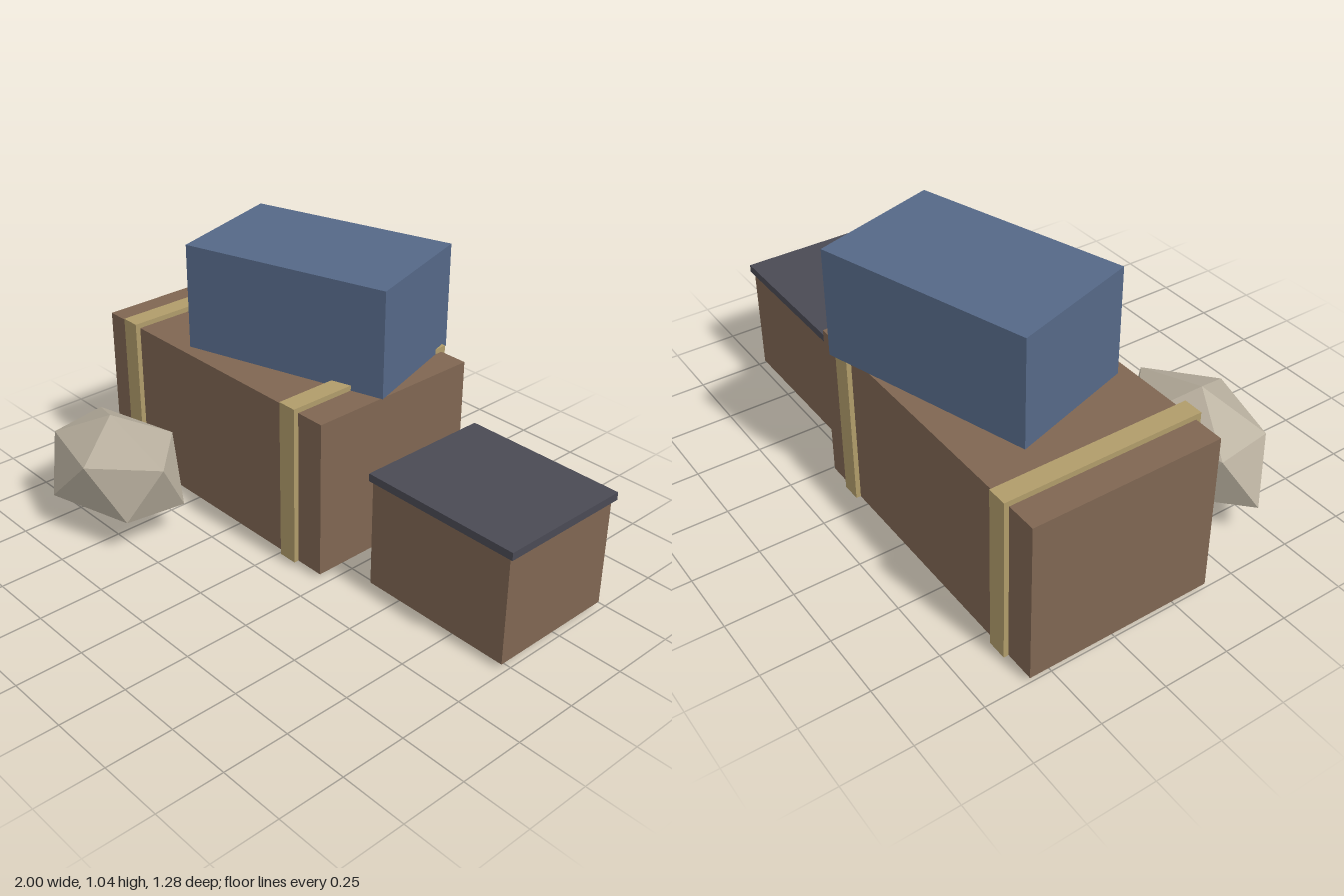
import * as THREE from 'three';

const material = (name, color) => {
  const m = new THREE.MeshStandardMaterial({ color });
  m.name = name;
  return m;
};

// Box given by its limits on each axis
function box(name, mat, [x0, x1], [y0, y1], [z0, z1]) {
  const mesh = new THREE.Mesh(new THREE.BoxGeometry(x1 - x0, y1 - y0, z1 - z0), mat);
  mesh.position.set((x0 + x1) / 2, (y0 + y1) / 2, (z0 + z1) / 2);
  mesh.name = name;
  return mesh;
}

// Irregular twenty-sided rock: two poles and two staggered rings of five
function rockGeometry() {
  const top = [-0.59, 0.452, 0.438];
  const bottom = [-0.6, 0, 0.438];
  const upper = [
    [-0.275, 0.35, 0.435], [-0.489, 0.345, 0.235], [-0.842, 0.34, 0.316],
    [-0.805, 0.335, 0.55], [-0.489, 0.345, 0.632],
  ];
  const lower = [
    [-0.334, 0.132, 0.309], [-0.693, 0.132, 0.231], [-0.917, 0.137, 0.435],
    [-0.703, 0.137, 0.641], [-0.35, 0.145, 0.555],
  ];
  const points = [];
  for (let i = 0; i < 5; i++) {
    const j = (i + 1) % 5;
    points.push(top, upper[i], upper[j]);
    points.push(upper[i], lower[i], upper[j]);
    points.push(lower[i], lower[j], upper[j]);
    points.push(bottom, lower[j], lower[i]);
  }
  const geometry = new THREE.BufferGeometry();
  geometry.setAttribute('position', new THREE.Float32BufferAttribute(points.flat(), 3));
  geometry.computeVertexNormals();
  return geometry;
}

export function createModel() {
  const group = new THREE.Group();
  group.name = 'crateStack';

  const wood = material('brown wood', 0x7f6652);
  const strap = material('tan strap', 0xb09c6a);
  const blue = material('blue', 0x556887);
  const dark = material('dark grey', 0x4a4a54);
  const stone = material('stone', 0xb8af9e);

  // Large crate with two straps around it
  group.add(box('largeCrate', wood, [-1, 0.22], [0.02, 0.63], [-0.582, 0.13]));
  group.add(box('leftmostStrap', strap, [-0.885, -0.81], [0.019, 0.65], [-0.6, 0.15]));
  group.add(box('rightmostStrap', strap, [0.03, 0.105], [0.021, 0.65], [-0.6, 0.15]));

  // Blue box set askew on top
  const blueBox = box('blueBox', blue, [-0.645, 0.171], [0.63, 1.037], [-0.525, -0.023]);
  blueBox.rotation.y = 0.3;
  group.add(blueBox);

  // Small crate with an overhanging lid
  group.add(box('smallCrate', wood, [0.375, 0.985], [0.02, 0.44], [-0.48, 0.03]));
  group.add(box('smallCrateLid', dark, [0.365, 1], [0.44, 0.47], [-0.49, 0.04]));

  // Rock in front of the crate
  const rock = new THREE.Mesh(rockGeometry(), stone);
  rock.name = 'rock';
  group.add(rock);

  return group;
}
